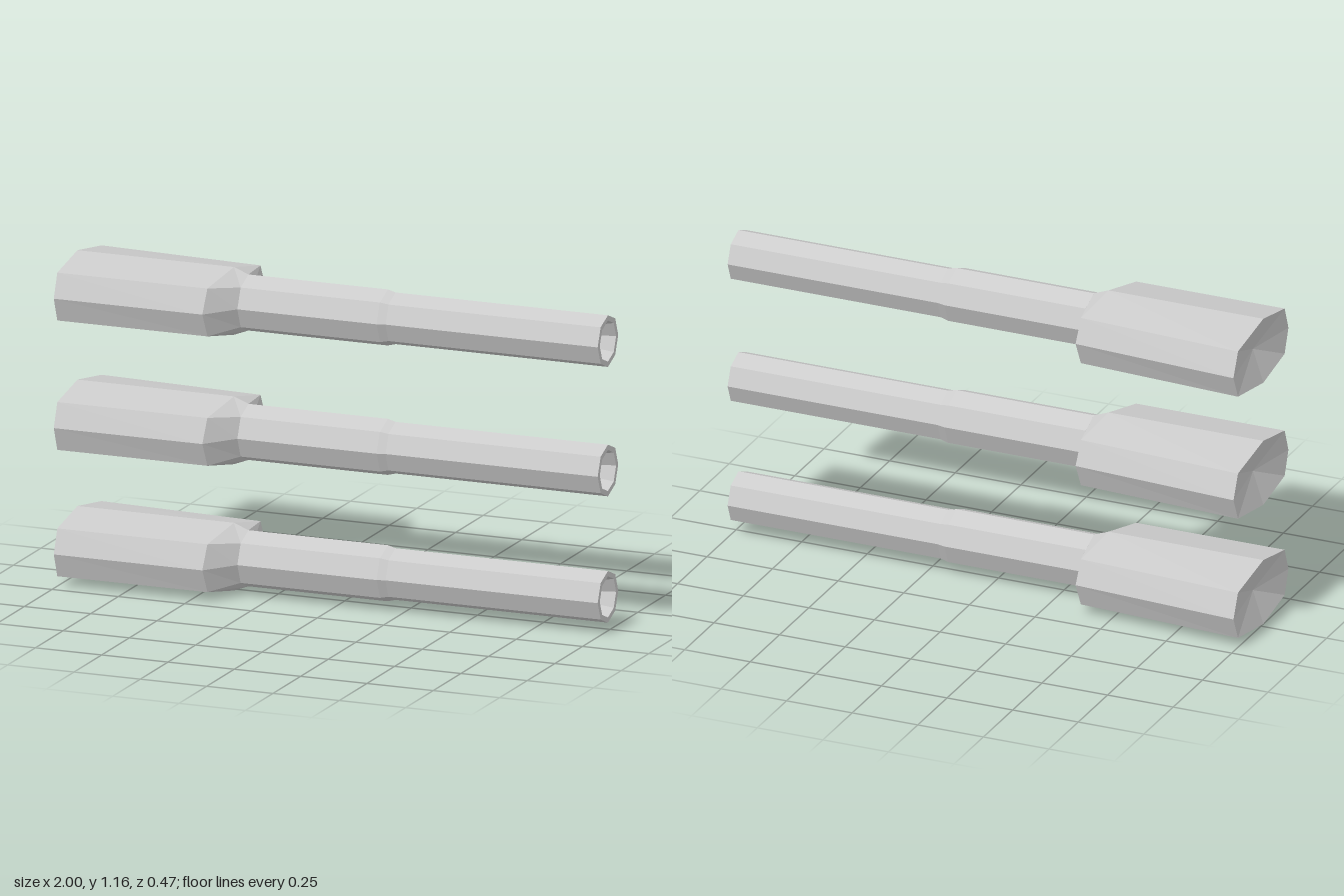
import * as THREE from 'three';

const SIDES = 8;
const AXIS_Z = 0.02;

// Eight-sided ring across the x axis: half height, reach to front and back,
// reach of the diagonal corners as a share of it, and lean of the ring along z
function ring(x, h, front, back = front, share = Math.SQRT1_2, lean = 0) {
  const points = [];
  for (let i = 0; i < SIDES; i++) {
    const a = (i / SIDES) * Math.PI * 2;
    const s = Math.sin(a);
    const reach = s > 0 ? front : back;
    const z = Math.abs(s) < 0.01 ? 0 : Math.sign(s) * reach * (Math.abs(s) > 0.99 ? 1 : share);
    points.push(new THREE.Vector3(x + lean * z, h * Math.cos(a), z));
  }
  return points;
}

// Skin between successive rings
function loft(rings) {
  const pos = [];
  const tri = (a, b, c) => {
    const area = b.clone().sub(a).cross(c.clone().sub(a)).length();
    if (area > 1e-9) pos.push(...a, ...b, ...c);
  };
  for (let j = 0; j < rings.length - 1; j++) {
    for (let i = 0; i < SIDES; i++) {
      const k = (i + 1) % SIDES;
      tri(rings[j][i], rings[j][k], rings[j + 1][k]);
      tri(rings[j][i], rings[j + 1][k], rings[j + 1][i]);
    }
  }
  const geometry = new THREE.BufferGeometry();
  geometry.setAttribute('position', new THREE.Float32BufferAttribute(pos, 3));
  geometry.computeVertexNormals();
  return geometry;
}

export function createModel() {
  const group = new THREE.Group();
  group.name = 'barrelSet';
  const material = new THREE.MeshStandardMaterial({ color: 0xcccccc, flatShading: true });

  // Wide tapered housing with a dished rear and a sloping shoulder
  const housing = loft([
    ring(-0.96, 0, 0),
    ring(-1, 0.122, 0.214, 0.255, 0.85),
    ring(-0.41, 0.122, 0.214, 0.214, 0.84, -0.14),
    ring(-0.355, 0.101, 0.101),
  ]);

  // Stepped tube with a flat rim and a bore narrowing to a point
  const tube = loft([
    ring(-0.355, 0.101, 0.101),
    ring(0.17, 0.101, 0.101),
    ring(0.2, 0.093, 0.093),
    ring(1, 0.093, 0.093),
    ring(1, 0.074, 0.074),
    ring(0.7, 0, 0),
  ]);

  // Three identical barrels, one above the other
  [0.122, 0.577, 1.043].forEach((y, i) => {
    const barrel = new THREE.Group();
    barrel.name = `barrel${i + 1}`;
    barrel.position.set(0, y, AXIS_Z);
    for (const [name, geometry] of [['housing', housing], ['tube', tube]]) {
      const mesh = new THREE.Mesh(geometry, material);
      mesh.name = name;
      barrel.add(mesh);
    }
    group.add(barrel);
  });
  return group;
}
